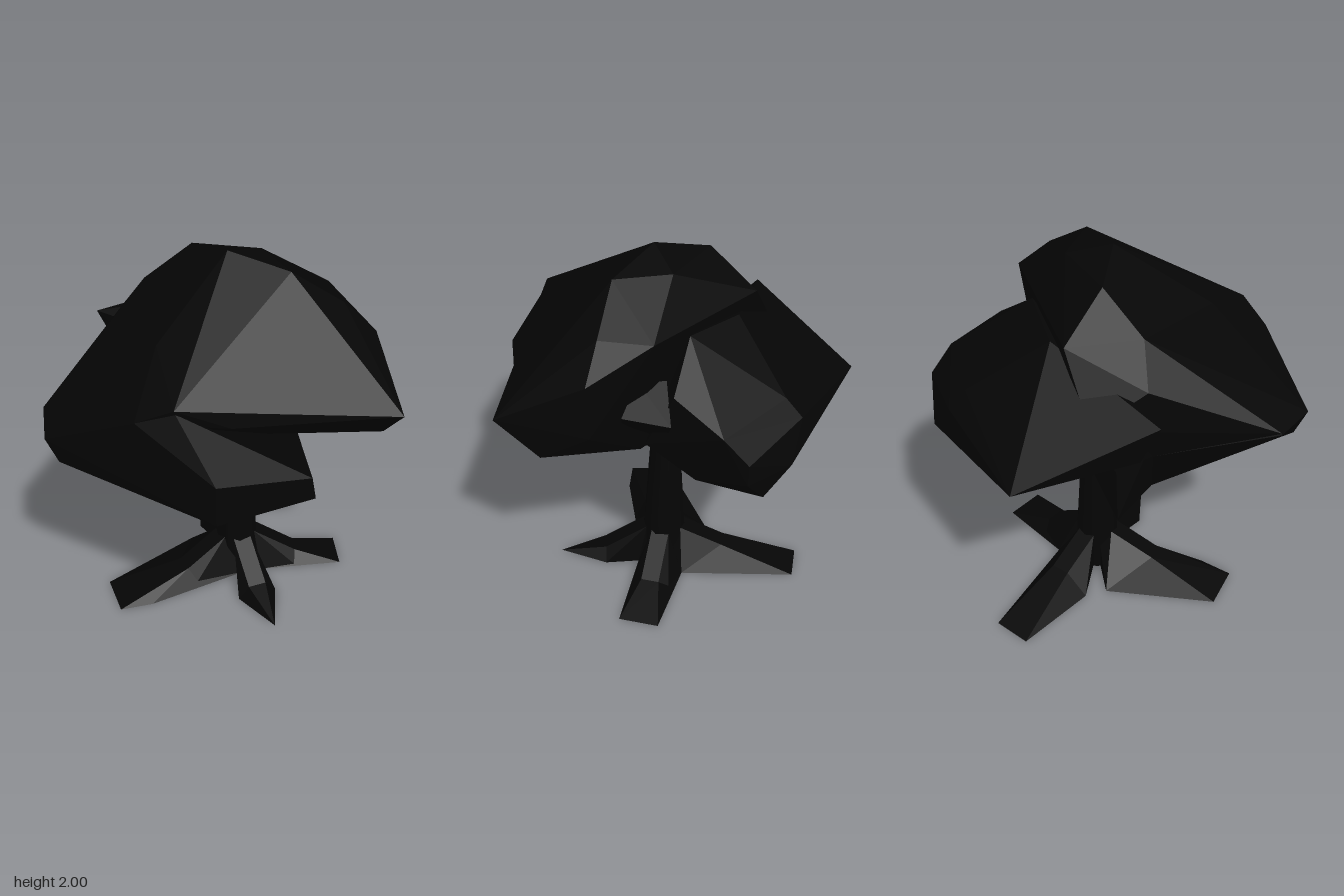
import * as THREE from 'three';
import { ConvexGeometry } from 'three/addons/geometries/ConvexGeometry.js';

const facetMaterial = new THREE.MeshStandardMaterial({ color: 0x050505, flatShading: true });
const barkMaterial = new THREE.MeshStandardMaterial({ color: 0x050505, side: THREE.DoubleSide });

// Faceted solid around a few corner points
function lump(name, corners) {
  const geometry = new ConvexGeometry(corners.map((c) => new THREE.Vector3(...c)));
  const mesh = new THREE.Mesh(geometry, facetMaterial);
  mesh.name = name;
  return mesh;
}

// Trunk: a tapered tube whose rings follow a bent centre line
function makeTrunk() {
  // y, centre x, centre z, radius
  const rings = [
    [0, -0.095, -0.02, 0.125],
    [0.22, -0.095, -0.02, 0.118],
    [0.78, -0.092, -0.025, 0.084],
    [0.94, -0.09, 0.03, 0.088],
    [1.15, -0.09, 0.08, 0.08],
  ];
  const geometry = new THREE.CylinderGeometry(1, 1, 1, 10, rings.length - 1);
  const pos = geometry.attributes.position;
  for (let i = 0; i < pos.count; i++) {
    const [y, cx, cz, r] = rings[Math.round((pos.getY(i) + 0.5) * (rings.length - 1))];
    pos.setXYZ(i, cx + pos.getX(i) * r, y, cz + pos.getZ(i) * r);
  }
  geometry.computeVertexNormals();
  const mesh = new THREE.Mesh(geometry, barkMaterial);
  mesh.name = 'trunk';
  return mesh;
}

// Root: a steep buttress against the trunk, then a flat toe out to the tip.
// web = the two ground corners where it meets its neighbours
function makeRoot(name, tips, web, midHeight) {
  const cx = -0.095, cz = -0.02;
  const mx = tips.reduce((s, t) => s + t[0], 0) / tips.length - cx;
  const mz = tips.reduce((s, t) => s + t[1], 0) / tips.length - cz;
  const length = Math.hypot(mx, mz);
  const dx = mx / length, dz = mz / length;
  const at = (along, across, y) => [cx + dx * along - dz * across, y, cz + dz * along + dx * across];
  const ground = ([x, z]) => [x, 0, z];
  const middle = [at(0.34, -0.05, midHeight), at(0.34, 0.05, midHeight)];
  const foot = [...web.map(ground), at(0.34, -0.11, 0), at(0.34, 0.11, 0)];

  const root = new THREE.Group();
  root.name = name;
  root.add(
    lump('buttress', [at(0, 0, 0), at(0, 0, 0.24), at(0.1, -0.05, 0.23), at(0.1, 0.05, 0.23), ...middle, ...foot]),
    lump('toe', [...middle, ...foot, ...tips.map(ground)]),
  );
  return root;
}

export function createModel() {
  const tree = new THREE.Group();
  tree.name = 'tree';
  tree.add(makeTrunk());

  // Spreading roots
  const roots = new THREE.Group();
  roots.name = 'roots';
  roots.add(
    makeRoot('frontRightRoot', [[-0.67, 0.47], [-0.5, 0.64], [-0.36, 0.53]], [[-0.41, -0.07], [0.0, 0.08]], 0.1),
    makeRoot('backRightRoot', [[-0.62, -0.59], [-0.45, -0.7]], [[-0.41, -0.19], [-0.02, -0.23]], 0.13),
    makeRoot('backLeftRoot', [[0.48, -0.22], [0.37, -0.41]], [[-0.02, -0.23], [0.08, 0.02]], 0.07),
    makeRoot('frontLeftRoot', [[0.33, 0.41]], [[0.08, 0.02], [-0.02, 0.1]], 0.07),
  );
  tree.add(roots);

  // Main crown, with the peak
  const crown = lump('mainFoliage', [
    [-0.09, 2, 0.06], [0.23, 1.935, 0.03], [-0.35, 1.935, -0.08], [0.0, 1.94, -0.15],
    [0.46, 1.76, -0.1], [-0.56, 1.76, 0.05], [0.3, 1.75, -0.31], [-0.46, 1.72, -0.3],
    [-0.25, 1.68, 0.52], [-0.02, 1.54, 0.8], [-0.2, 1.46, 0.85], [0.2, 1.42, 0.66],
    [0.61, 1.6, -0.17], [0.6, 1.3, -0.17], [0.88, 1.38, 0.19], [0.74, 1.16, 0.03],
    [0.3, 1.03, 0.03], [0.3, 1.1, -0.22],
    [-0.71, 1.57, 0.02], [-0.69, 1.4, -0.25], [-0.83, 1.27, 0.66], [-0.69, 1.25, 0.87],
    [-0.6, 1.1, -0.22], [-0.72, 1.2, 0.05],
  ]);

  // Lower front skirt of the crown
  const skirt = lump('lowerFoliage', [
    [-0.83, 1.26, 0.66], [-0.69, 1.25, 0.87], [-0.2, 1.46, 0.85], [-0.02, 1.52, 0.79],
    [0.21, 1.22, 0.86], [0.53, 1.1, 0.46],
    [-0.65, 1.1, 0.83], [0.21, 1.0, 0.86], [0.54, 0.96, 0.43], [0.28, 0.98, 0.1],
    [-0.62, 0.925, 0.09], [-0.1, 0.945, -0.02], [0.1, 1.02, -0.27],
    [-0.72, 1.2, 0.05],
  ]);

  // Clump on the right, under the rear crown
  const clump = lump('sideFoliage', [
    [-0.86, 0.98, -0.17], [-0.83, 1.25, -0.17], [-0.81, 1.27, -0.03], [-0.62, 0.925, 0.09],
    [-0.2, 0.96, -0.1], [-0.46, 1.0, -0.16], [-0.3, 1.2, -0.25], [-0.3, 1.2, 0.2],
    [-0.72, 1.2, 0.05],
  ]);

  // Rear crown
  const rear = lump('rearFoliage', [
    [-0.88, 1.49, 0.02], [-0.84, 1.25, -0.67], [-0.82, 1.27, -0.05], [-0.22, 1.32, -0.81],
    [-0.08, 1.14, -0.87], [0.19, 1.26, -0.82], [0.19, 1.14, -0.82], [0.24, 1.38, -0.7],
    [-0.2, 1.4, -0.72], [0.05, 1.69, -0.31], [-0.3, 1.66, -0.32], [0.28, 1.5, -0.42],
    [0.05, 0.98, -0.81], [-0.08, 0.93, -0.63], [0.2, 1.0, -0.5], [0.1, 1.0, -0.25],
    [-0.46, 1.02, -0.13], [0.3, 1.15, -0.25],
  ]);

  // Small spur at the back left
  const spur = lump('foliageSpur', [
    [0.34, 1.38, -0.46], [0.47, 1.4, -0.26], [0.41, 1.3, -0.2],
    [0.2, 1.15, -0.3], [0.2, 1.5, -0.3], [0.3, 1.5, -0.2],
  ]);

  tree.add(crown, skirt, clump, rear, spur);
  return tree;
}
